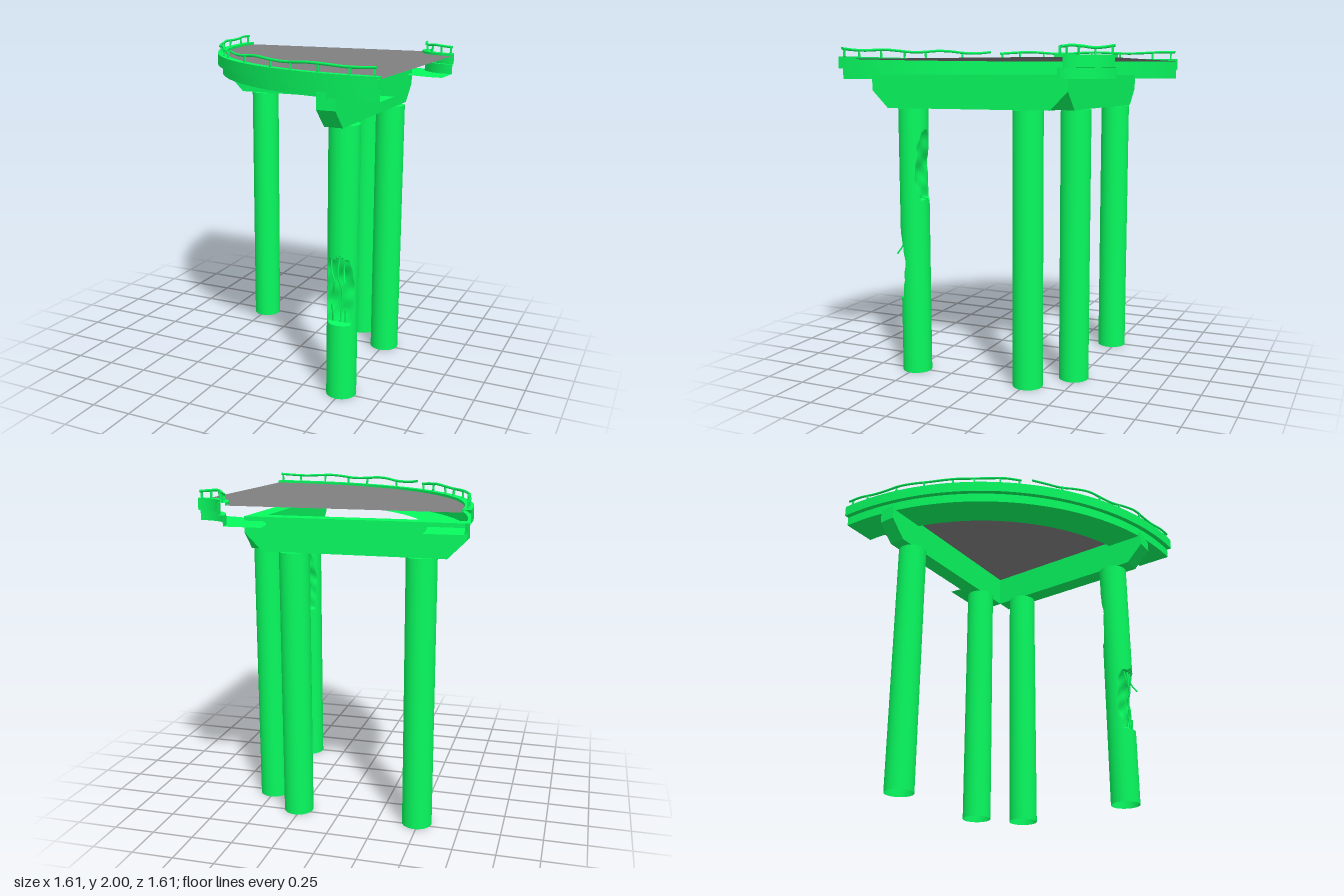
import * as THREE from 'three';
import { toCreasedNormals } from 'three/addons/utils/BufferGeometryUtils.js';

const green = new THREE.MeshStandardMaterial({ color: 0x08fa5f, side: THREE.DoubleSide });
const grey = new THREE.MeshStandardMaterial({ color: 0x808080, side: THREE.DoubleSide });

const C = 0.805;            // bend centre is (C, -C)
const R_OUT = 1.61, R_IN = 0.215;
const DECK_Y = 1.925, BEAM_TOP = 1.835, BEAM_Y = 1.635;

function part(parent, name, geometry, material = green) {
  const mesh = new THREE.Mesh(geometry, material);
  mesh.name = name;
  parent.add(mesh);
  return mesh;
}

// Point on the bend: angle 0 is towards -x, 90 degrees towards +z
function bendPoint(r, degrees, y) {
  const a = THREE.MathUtils.degToRad(degrees);
  return new THREE.Vector3(C - r * Math.cos(a), y, -C + r * Math.sin(a));
}

// Edge girder and kerb cross-section: distance in from the outer face, height
const kerbProfile = [
  [0.25, 1.81], [0.03, 1.81], [0.03, 1.87], [0, 1.87],
  [0, 1.94], [0.048, 1.94], [0.048, DECK_Y],
];

function edgeGirder(parent, name, toRadius, reverse, segments) {
  const pts = kerbProfile.map(([d, y]) => new THREE.Vector2(toRadius(d), y));
  if (reverse) pts.reverse();
  const geo = new THREE.LatheGeometry(pts, segments, -Math.PI / 2, Math.PI / 2);
  part(parent, name, toCreasedNormals(geo, 0.4)).position.set(C, 0, -C);
}

// Bent handrail on thin posts
function railing(parent, name, r, from, to, postAngles, steps) {
  const group = new THREE.Group();
  group.name = name;
  const pts = [];
  for (let i = 0; i <= steps; i++) {
    const a = from + (to - from) * i / steps;
    const y = 1.983 + 0.006 * Math.sin(i * 1.4 + from) + 0.002 * Math.sin(i * 4.7);
    pts.push(bendPoint(r + 0.008 * Math.sin(i * 1.7 + 1), a, y));
  }
  part(group, 'handrail', new THREE.TubeGeometry(new THREE.CatmullRomCurve3(pts), steps * 4, 0.008, 6));
  postAngles.forEach((a, i) => {
    const post = part(group, 'railPost', new THREE.BoxGeometry(0.01, 0.045, 0.01));
    post.position.copy(bendPoint(r, a, 1.96));
    post.rotation.set(0, THREE.MathUtils.degToRad(a), 0.1 * Math.sin(i * 2.3));
  });
  parent.add(group);
}

// Cross beam lying along x, both lower ends chamfered
function beamGeometry(x0, x1, z0, z1) {
  const c = 0.107;
  const shape = new THREE.Shape([
    [x0 + c, BEAM_Y], [x1 - c, BEAM_Y], [x1, BEAM_Y + c],
    [x1, BEAM_TOP], [x0, BEAM_TOP], [x0, BEAM_Y + c],
  ].map(([x, y]) => new THREE.Vector2(x, y)));
  return new THREE.ExtrudeGeometry(shape, { depth: z1 - z0, bevelEnabled: false }).translate(0, 0, z0);
}

// Column shaft, open at the foot; rows > 1 leaves vertices for damage
function columnGeometry(rows, sides) {
  const pts = [];
  for (let i = 0; i <= rows; i++) pts.push(new THREE.Vector2(0.09, BEAM_Y * i / rows));
  pts.push(new THREE.Vector2(0.0001, BEAM_Y));
  return new THREE.LatheGeometry(pts, sides);
}

// Flatten ragged patches into the front and back of a column
function damagedColumnGeometry() {
  const geo = columnGeometry(130, 96);
  const p = geo.attributes.position;
  for (let i = 0; i < p.count; i++) {
    const x = p.getX(i), y = p.getY(i), z = p.getZ(i);
    const rough = 0.004 * Math.sin(y * 31 + x * 22) + 0.003 * Math.sin(y * 57 - x * 40);
    const ragged = 0.012 * Math.sin(x * 60 + 1);
    if (z > 0 && y > 0.47 && y < 0.87 + ragged) {
      const dent = Math.sin(Math.PI * THREE.MathUtils.clamp((0.92 - y) / 0.52, 0, 1));
      p.setZ(i, Math.min(z, 0.072 - 0.044 * dent + rough));
    }
    if (z < 0 && y > 1.09 + ragged * 0.5 && y < 1.49 + ragged) {
      const dent = Math.sin(Math.PI * THREE.MathUtils.clamp((1.5 - y) / 0.5, 0, 1));
      p.setZ(i, Math.max(z, -0.084 + 0.036 * dent + rough));
    }
  }
  return toCreasedNormals(geo, 0.5);
}

export function createModel() {
  const model = new THREE.Group();
  model.name = 'curvedBridgeSection';

  // Road deck: a quarter ring
  const deck = new THREE.RingGeometry(R_IN + 0.048, R_OUT - 0.048, 64, 1, Math.PI, Math.PI / 2);
  part(model, 'roadDeck', deck.rotateX(-Math.PI / 2), grey).position.set(C, DECK_Y, -C);

  // Edge girders with kerbs
  edgeGirder(model, 'outerEdgeGirder', d => R_OUT - d, false, 48);
  edgeGirder(model, 'innerEdgeGirder', d => R_IN + d, true, 20);

  // Railings, the outer one broken in the middle
  railing(model, 'outerRailingRight', R_OUT - 0.022, 0.5, 44, [1.5, 6, 14, 21, 28, 33, 39, 43.5], 12);
  railing(model, 'outerRailingLeft', R_OUT - 0.022, 46.5, 89.5, [54, 64, 70, 77, 84, 89], 12);
  railing(model, 'innerRailing', R_IN + 0.022, 2, 88, [5, 27, 50, 70, 86], 6);

  // Two cross beams meeting near the inner corner
  part(model, 'rearBeam', beamGeometry(-0.75, 0.55, -0.525, -0.42));
  part(model, 'sideBeam', beamGeometry(-0.745, 0.525, 0.44, 0.55).rotateY(Math.PI / 2));

  // Sound columns
  for (const [x, z] of [[-0.49, -0.47], [0.265, -0.47], [0.5, -0.265]]) {
    const geo = toCreasedNormals(columnGeometry(1, 40), 0.6);
    part(model, 'column', geo).position.set(x, 0, z);
  }

  // Damaged column with exposed, bent bars
  const damaged = new THREE.Group();
  damaged.name = 'damagedColumn';
  damaged.position.set(0.5, 0, 0.49);
  part(damaged, 'brokenShaft', damagedColumnGeometry());
  const bars = [
    [[-0.045, 0.87, 0.06], [-0.04, 0.8, 0.07], [-0.018, 0.73, 0.08], [-0.035, 0.65, 0.055]],
    [[0.005, 0.87, 0.06], [0.0, 0.76, 0.07], [0.02, 0.66, 0.05], [0.012, 0.48, 0.055]],
    [[0.04, 0.87, 0.06], [0.035, 0.8, 0.066], [0.052, 0.74, 0.1]],
    [[-0.035, 0.48, 0.055], [-0.032, 0.53, 0.065], [-0.035, 0.59, 0.08]],
    [[0.04, 0.48, 0.05], [0.042, 0.55, 0.06]],
  ];
  for (const bar of bars) {
    const curve = new THREE.CatmullRomCurve3(bar.map(p => new THREE.Vector3(...p)));
    part(damaged, 'exposedBar', new THREE.TubeGeometry(curve, 16, 0.005, 6));
  }
  model.add(damaged);

  return model;
}
